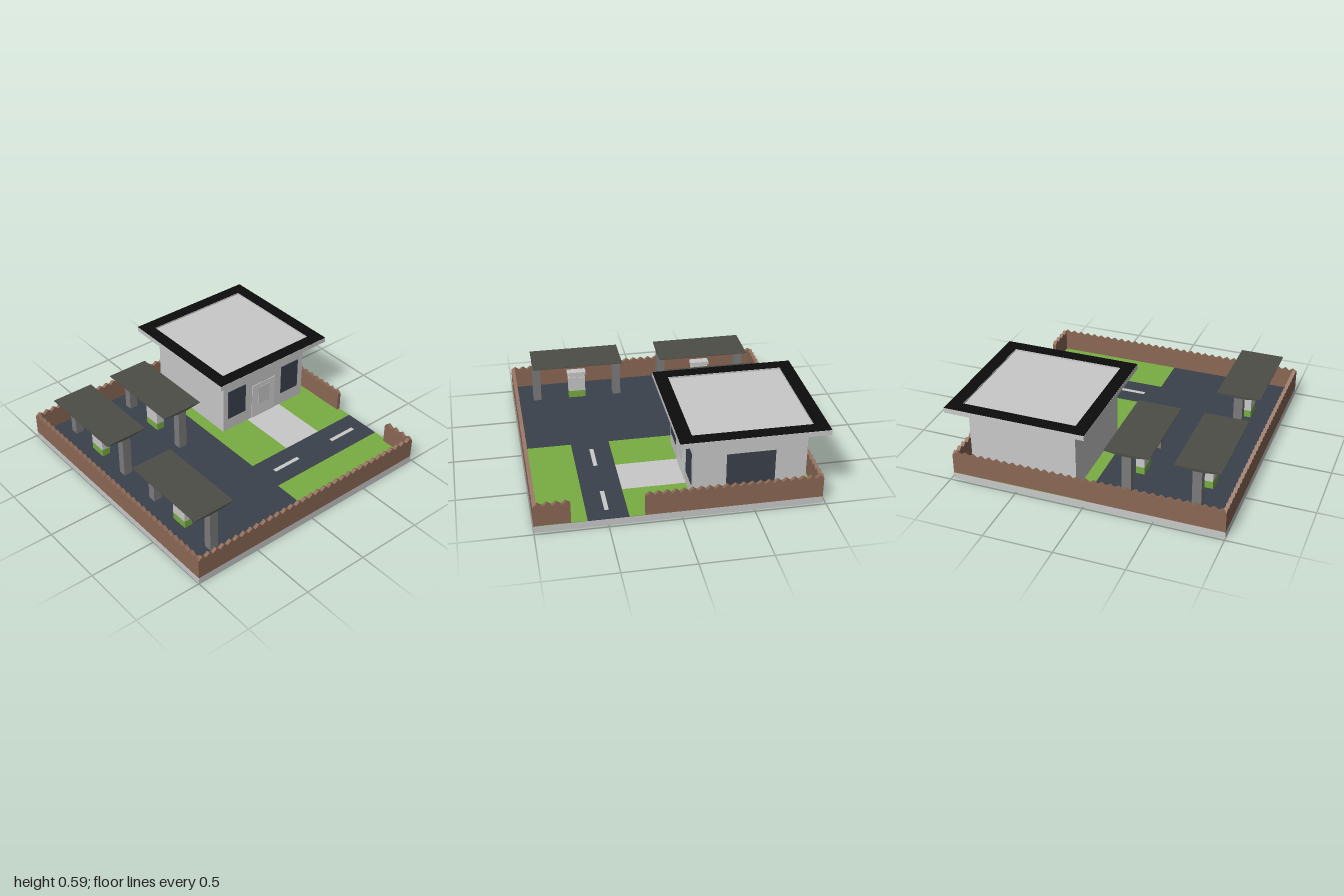
import * as THREE from 'three';

const mat = (name, color) => {
  const m = new THREE.MeshStandardMaterial({ color });
  m.name = name;
  return m;
};

export function createModel() {
  const concrete = mat('light concrete', 0xc9c9c9);
  const doorWhite = mat('door white', 0xd6d6d6);
  const asphalt = mat('asphalt and glass', 0x3b414c);
  const grass = mat('grass green', 0x78ae42);
  const wood = mat('fence brown', 0x8b6855);
  const black = mat('roof black', 0x0c0c0c);
  const canopyGrey = mat('canopy grey', 0x4d4d47);
  const steel = mat('pillar grey', 0x7b7b7b);

  const root = new THREE.Group();
  root.name = 'fuelStation';

  const add = (parent, name, geometry, material) => {
    const mesh = new THREE.Mesh(geometry, material);
    mesh.name = name;
    parent.add(mesh);
    return mesh;
  };
  // Box given by its limits on each axis
  const box = (parent, name, material, x0, x1, y0, y1, z0, z1) => {
    const mesh = add(parent, name, new THREE.BoxGeometry(x1 - x0, y1 - y0, z1 - z0), material);
    mesh.position.set((x0 + x1) / 2, (y0 + y1) / 2, (z0 + z1) / 2);
    return mesh;
  };
  const group = (name) => {
    const g = new THREE.Group();
    g.name = name;
    root.add(g);
    return g;
  };

  // Ground: slab with thin coloured plates on top
  const ground = group('ground');
  const G = 0.05, T = 0.054;
  box(ground, 'baseSlab', concrete, -0.98, 1, 0, G, -0.98, 1);
  box(ground, 'parkingLot', asphalt, -0.96, 0.98, G, T, 0, 0.98);
  box(ground, 'road', asphalt, 0.36, 0.64, G, T, -0.98, 0);
  box(ground, 'lawnRight', grass, 0.64, 0.98, G, T, -0.98, 0);
  box(ground, 'lawnRear', grass, -0.98, 0.36, G, T, -0.98, -0.65);
  box(ground, 'lawnFront', grass, -0.98, 0.36, G, T, -0.33, 0);
  box(ground, 'lawnSide', grass, -0.98, -0.5, G, T, -0.65, -0.33);
  box(ground, 'path', concrete, -0.5, 0.36, G, T, -0.65, -0.33);
  for (const z of [-0.88, -0.32]) {
    box(ground, 'roadStripe', concrete, 0.485, 0.515, T, T + 0.002, z, z + 0.23);
  }

  // Fence panels with a sawtooth top edge
  const fence = group('fence');
  const panel = (name, length, x, z, alongZ) => {
    const shape = new THREE.Shape();
    const n = Math.round(length / 0.06), step = length / n;
    shape.moveTo(0, G);
    shape.lineTo(length, G);
    for (let i = n; i > 0; i--) {
      shape.lineTo(i * step, 0.2);
      shape.lineTo((i - 0.5) * step, 0.222);
    }
    shape.lineTo(0, 0.2);
    const geo = new THREE.ExtrudeGeometry(shape, { depth: 0.027, bevelEnabled: false });
    if (alongZ) geo.rotateY(-Math.PI / 2).translate(0.027, 0, 0);
    add(fence, name, geo, wood).position.set(x, 0, z);
  };
  panel('frontFence', 1.98, -0.98, 0.973, false);
  panel('leftFence', 1.98, 0.973, -0.98, true);
  panel('rightFence', 1.98, -0.98, -0.98, true);
  panel('backFenceLong', 1.23, -0.98, -0.98, false);
  panel('backFenceShort', 0.25, 0.75, -0.98, false);

  // Shop building
  const shop = group('shop');
  box(shop, 'walls', concrete, -0.88, -0.09, G, 0.55, -0.88, -0.09);
  for (const z of [-0.305, -0.83]) {
    box(shop, 'sideWindow', asphalt, -0.09, -0.086, 0.155, 0.4, z, z + 0.17);
  }
  box(shop, 'backWindow', asphalt, -0.66, -0.32, 0.155, 0.4, -0.884, -0.88);
  box(shop, 'door', doorWhite, -0.09, -0.086, T, 0.35, -0.595, -0.37);
  box(shop, 'doorPane', concrete, -0.086, -0.083, 0.16, 0.315, -0.54, -0.43);

  // Flat roof: slab, raised rim and black cap on the rim
  const square = (s, cls) => new cls([[-s, -s], [s, -s], [s, s], [-s, s]].map((p) => new THREE.Vector2(...p)));
  const rim = square(0.5125, THREE.Shape);
  rim.holes.push(square(0.415, THREE.Path));
  const roof = new THREE.Group();
  roof.name = 'roof';
  roof.position.set(-0.4875, 0, -0.4875);
  shop.add(roof);
  box(roof, 'roofSlab', concrete, -0.5125, 0.5125, 0.55, 0.575, -0.5125, 0.5125);
  const rimGeo = new THREE.ExtrudeGeometry(rim, { depth: 0.011, bevelEnabled: false });
  add(roof, 'roofRim', rimGeo.rotateX(-Math.PI / 2), concrete).position.y = 0.575;
  add(roof, 'rimCap', new THREE.ShapeGeometry(rim).rotateX(-Math.PI / 2), black).position.y = 0.5875;

  // Pump bays: two pillars, a canopy with a tapered underside, and a pump
  const canopyProfile = new THREE.Shape([[-0.163, 0.39], [-0.163, 0.386], [-0.035, 0.37],
    [0.035, 0.37], [0.163, 0.386], [0.163, 0.39]].map((p) => new THREE.Vector2(...p)));
  const canopyGeo = new THREE.ExtrudeGeometry(canopyProfile, { depth: 0.69, bevelEnabled: false })
    .translate(0, 0, -0.345).rotateY(Math.PI / 2);
  for (const [x, z] of [[-0.485, 0.255], [-0.485, 0.752], [0.505, 0.752]]) {
    const bay = group('pumpBay');
    bay.position.set(x, 0, z);
    add(bay, 'canopy', canopyGeo, canopyGrey);
    for (const s of [-1, 1]) {
      box(bay, 'pillar', steel, s * 0.315 - 0.03, s * 0.315 + 0.03, G, 0.372, -0.033, 0.033);
    }
    box(bay, 'pumpBase', grass, -0.065, 0.065, G, 0.11, -0.032, 0.032);
    box(bay, 'pumpBody', concrete, -0.065, 0.065, 0.11, 0.225, -0.032, 0.032);
    box(bay, 'pumpNeck', concrete, -0.055, 0.055, 0.225, 0.246, -0.026, 0.026);
    box(bay, 'pumpCap', concrete, -0.072, 0.072, 0.246, 0.27, -0.033, 0.033);
  }
  return root;
}
